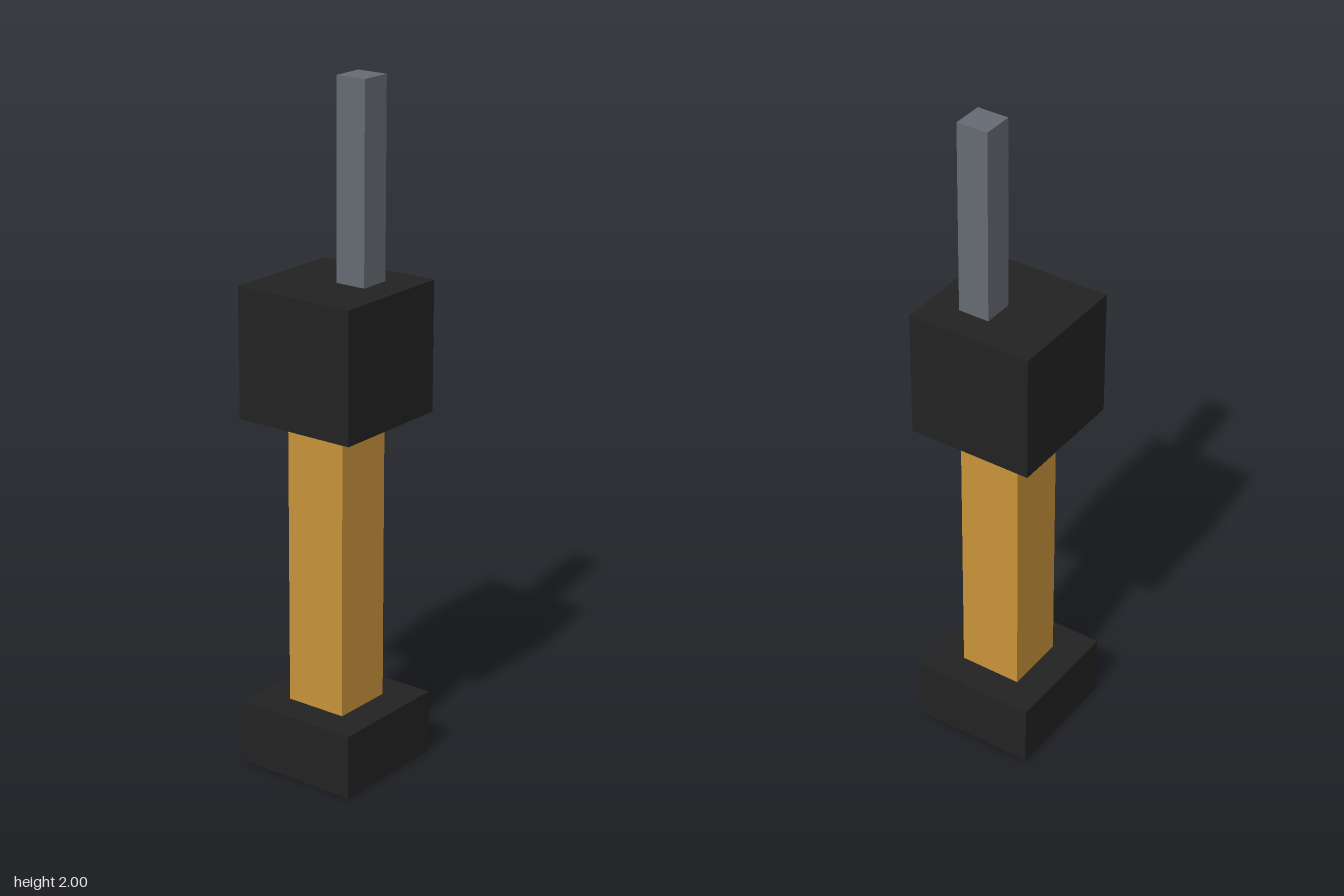
import * as THREE from 'three';

// The whole model sits on a grid of 21 units in height
const U = 2 / 21;

export function createModel() {
  const group = new THREE.Group();
  const black = new THREE.MeshStandardMaterial({ name: 'black', color: 0x222222 });
  const amber = new THREE.MeshStandardMaterial({ name: 'amber', color: 0xc8943a });
  const steel = new THREE.MeshStandardMaterial({ name: 'steelGrey', color: 0x666a73 });

  // Square block from one height to another, in grid units
  function block(name, width, bottom, top, material, x = 0, z = 0) {
    const geometry = new THREE.BoxGeometry(width * U, (top - bottom) * U, width * U);
    const mesh = new THREE.Mesh(geometry, material);
    mesh.name = name;
    mesh.position.set(x * U, ((bottom + top) / 2) * U, z * U);
    group.add(mesh);
  }

  block('endCap', 4, 0, 2, black);
  block('handle', 2, 2, 11, amber);
  block('collar', 4, 11, 15, black);
  // Thin rod, offset to the back left quarter of the collar
  block('rod', 1, 15, 21, steel, 0.5, -0.5);

  return group;
}
